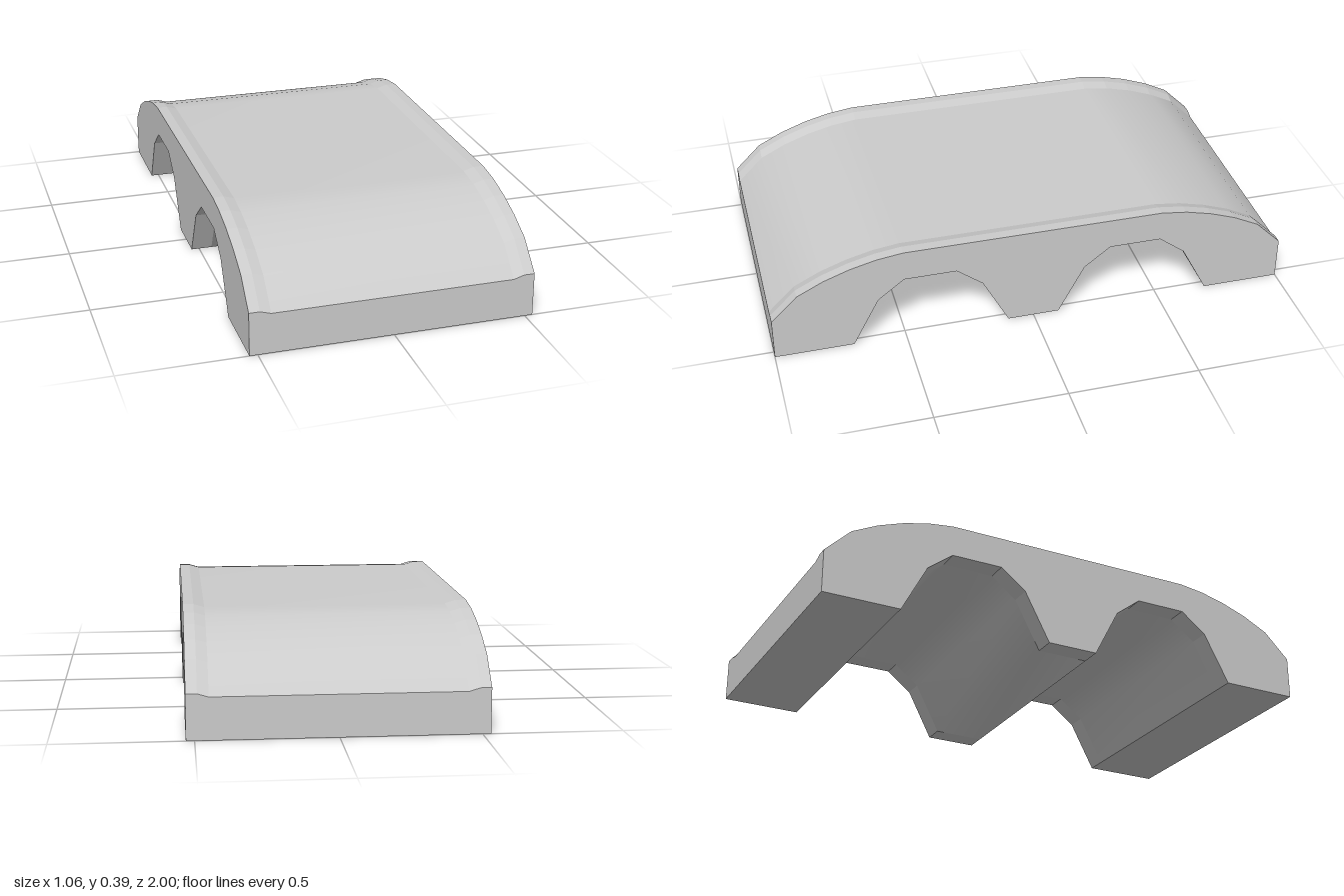
import * as THREE from 'three';

const HALF = 0.53;      // half width
const DIP = 0.012;      // how far the deck sits below its rims
// x stations with the share of the dip at each
const STATIONS = [[-HALF, 0], [-0.49, 0], [-0.45, 1], [0.45, 1], [0.49, 0], [HALF, 0]];

// Half profiles as [z, y]
const topHalf = [[1, 0.165], [0.9, 0.264], [0.8, 0.314], [0.7, 0.35], [0.6, 0.375], [0.5, 0.388]];
const archHalf = [[0.1, 0], [0.2, 0.19], [0.3, 0.267], [0.5, 0.267], [0.6, 0.19], [0.7, 0]];
const mirrored = (pts) => pts.map(([z, y]) => [-z, y]).reverse();

const topLine = [...topHalf, ...mirrored(topHalf)];           // front to back
const underLine = [...mirrored(archHalf), ...archHalf];       // back to front

export function createModel() {
  const group = new THREE.Group();
  group.name = 'archedBridge';
  const material = new THREE.MeshStandardMaterial({ color: 0xcccccc });

  const add = (name, geometry) => {
    const mesh = new THREE.Mesh(geometry, material);
    mesh.name = name;
    group.add(mesh);
    return mesh;
  };

  // Sweeps a [z, y] line across x between two stations; dips(i) tells which points sink with the deck
  const sweep = (name, line, [xa, da], [xb, db], smooth, dips = () => false) => {
    const pos = [], index = [];
    line.forEach(([z, y], i) => {
      const d = dips(i) ? DIP : 0;
      pos.push(xa, y - d * da, z, xb, y - d * db, z);
      if (i) {
        const a = 2 * (i - 1);
        index.push(a, a + 1, a + 3, a, a + 3, a + 2);
      }
    });
    let geometry = new THREE.BufferGeometry();
    geometry.setAttribute('position', new THREE.Float32BufferAttribute(pos, 3));
    geometry.setIndex(index);
    if (!smooth) geometry = geometry.toNonIndexed();
    geometry.computeVertexNormals();
    add(name, geometry);
  };

  // Deck, rims, end walls: smooth in the middle, faceted along the edges
  for (let s = 0; s < STATIONS.length - 1; s++) {
    const a = STATIONS[s], b = STATIONS[s + 1], middle = s === 2;
    sweep(middle ? 'deck' : 'rim', topLine, a, b, middle, () => true);
    sweep('frontWall', [[1, 0], [1, 0.165]], a, b, false, (i) => i === 1);
    sweep('backWall', [[-1, 0.165], [-1, 0]], a, b, false, (i) => i === 0);
    sweep(middle ? 'arches' : 'archEdge', underLine, a, b, middle);
    sweep('backFoot', [[-1, 0], [-0.7, 0]], a, b, false);
    sweep('frontFoot', [[0.7, 0], [1, 0]], a, b, false);
  }

  // Side faces with the two arch openings
  const outline = [[1, 0], ...topLine, [-1, 0], ...underLine];
  const shape = new THREE.Shape(outline.map(([z, y]) => new THREE.Vector2(z, y)));
  for (const side of [-1, 1]) {
    const geometry = new THREE.ShapeGeometry(shape);
    geometry.rotateY(side * Math.PI / 2);
    geometry.translate(side * HALF, 0, 0);
    add(side > 0 ? 'leftSide' : 'rightSide', geometry);
  }
  return group;
}
